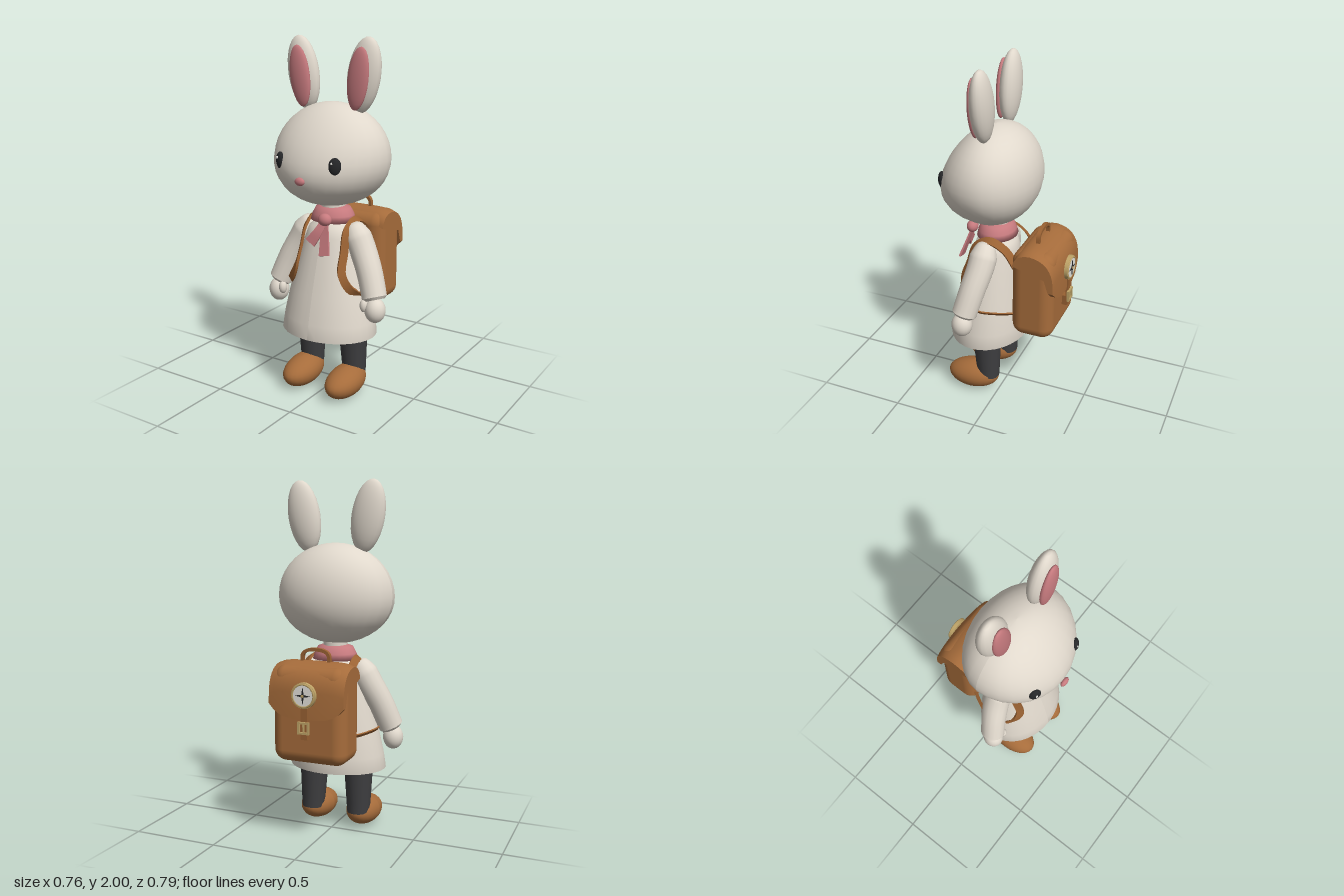
import * as THREE from 'three';
import { toCreasedNormals } from 'three/addons/utils/BufferGeometryUtils.js';
import { RoundedBoxGeometry } from 'three/addons/geometries/RoundedBoxGeometry.js';

const paint = (name, color, side = THREE.FrontSide) => {
  const m = new THREE.MeshStandardMaterial({ color, side });
  m.name = name;
  return m;
};
const V = (x, y, z) => new THREE.Vector3(x, y, z);

// Move every vertex of a geometry by a rule, then refresh its normals
function bend(geo, rule) {
  const p = geo.attributes.position, v = V(0, 0, 0);
  for (let i = 0; i < p.count; i++) {
    rule(v.fromBufferAttribute(p, i));
    p.setXYZ(i, v.x, v.y, v.z);
  }
  geo.computeVertexNormals();
  return geo;
}

// Sweep a closed section [n, b] along a path; n points away from `from`
function sweep(points, section, size, from, steps = 24) {
  const curve = new THREE.CatmullRomCurve3(points), pos = [], idx = [], k = section.length;
  for (let i = 0; i <= steps; i++) {
    const t = i / steps, c = curve.getPoint(t), T = curve.getTangent(t);
    const N = c.clone().sub(from);
    N.addScaledVector(T, -N.dot(T)).normalize();
    const B = T.clone().cross(N);
    for (const [n, b] of section) {
      const q = c.clone().addScaledVector(N, n * size(t)).addScaledVector(B, b * size(t));
      pos.push(q.x, q.y, q.z);
    }
    for (let j = 0; j < k && i < steps; j++) {
      const a = i * k + j, b = i * k + (j + 1) % k;
      idx.push(a, b, b + k, a, b + k, a + k);
    }
  }
  const e = steps * k;
  for (let j = 1; j < k - 1; j++) idx.push(0, j + 1, j, e, e + j, e + j + 1);
  const g = new THREE.BufferGeometry();
  g.setAttribute('position', new THREE.Float32BufferAttribute(pos, 3));
  g.setIndex(idx);
  return toCreasedNormals(g, 0.7);
}
const flat = (w, h) => [[h / 2, -w / 2], [h / 2, w / 2], [-h / 2, w / 2], [-h / 2, -w / 2]];
const round = Array.from({ length: 16 }, (_, i) => [Math.cos(i * Math.PI / 8), Math.sin(i * Math.PI / 8)]);
const one = () => 1;

export function createModel() {
  const fur = paint('cream', 0xe0d8cc, THREE.DoubleSide);
  const pink = paint('pink', 0xc67a7e, THREE.DoubleSide);
  const leather = paint('brown leather', 0xa66c3b);
  const strapBrown = paint('strap brown', 0x9a6233);
  const charcoal = paint('charcoal', 0x3e3e40);
  const black = paint('eye black', 0x262729);
  const brass = paint('brass', 0xbfa468);
  const white = paint('dial white', 0xe6e4de);

  const model = new THREE.Group();
  model.name = 'rabbitTraveller';
  const add = (name, geo, mat, x = 0, y = 0, z = 0, parent = model) => {
    const m = new THREE.Mesh(geo, mat);
    m.name = name;
    m.position.set(x, y, z);
    parent.add(m);
    return m;
  };
  const ball = (name, mat, [x, y, z], [rx, ry, rz], w = 20, h = 14) =>
    add(name, new THREE.SphereGeometry(1, w, h).scale(rx, ry, rz), mat, x, y, z);

  // Head: a sphere pushed forward and down into a muzzle
  add('head', bend(new THREE.SphereGeometry(1, 28, 20), v => {
    const ny = v.y;
    v.x *= 0.338;
    v.y *= ny > 0 ? 0.295 : 0.27;
    v.z *= v.z > 0 ? 0.3 * (1 - 0.28 * ny) : 0.245;
  }), fur, 0, 1.36, 0.06);
  ball('nose', pink, [0, 1.27, 0.38], [0.03, 0.022, 0.016]);
  add('neck', new THREE.CylinderGeometry(0.07, 0.07, 0.16, 20), fur, 0, 1.05, 0.06);

  // Dress: lathe squashed front to back, its axis leaning forward at the hem
  const dress = [[0.27, 0.372], [0.286, 0.365], [0.275, 0.45], [0.245, 0.6], [0.192, 0.8], [0.16, 0.92], [0.14, 0.97], [0.09, 1.0], [0.05, 1.01]];
  add('dress', bend(new THREE.LatheGeometry(dress.map(p => new THREE.Vector2(...p)), 32), v => {
    v.z = v.z * 0.79 + 0.06 + (1 - v.y) * 0.071;
  }), fur);
  ball('tail', fur, [0, 0.53, -0.13], [0.095, 0.095, 0.095]);

  // Scarf
  const scarf = [[0.08, 0.995], [0.133, 1.0], [0.122, 1.035], [0.102, 1.072], [0.07, 1.083]];
  add('scarf', new THREE.LatheGeometry(scarf.map(p => new THREE.Vector2(...p)), 24).scale(1, 1, 0.86), pink, 0, 0, 0.06);
  ball('scarfKnot', pink, [0.035, 1.03, 0.2], [0.04, 0.035, 0.033]);
  const behind = V(0, 0.9, -5);
  const tails = [
    [V(0.03, 1.02, 0.2), V(0.005, 0.96, 0.225), V(-0.035, 0.9, 0.24)],
    [V(0.035, 1.02, 0.2), V(0.05, 0.94, 0.225), V(0.068, 0.845, 0.258)],
  ];
  for (const path of tails) add('scarfTail', sweep(path, flat(0.065, 0.012), t => 0.6 + 0.4 * t, behind, 10), pink);

  for (const s of [1, -1]) {
    // Ears and face
    ball('ear', fur, [s * 0.192, 1.8, 0.06], [0.096, 0.202, 0.057]).rotation.z = -s * 0.17;
    ball('innerEar', pink, [s * 0.184, 1.785, 0.108], [0.063, 0.166, 0.027]).rotation.z = -s * 0.13;
    ball('eye', black, [s * 0.173, 1.355, 0.311], [0.034, 0.047, 0.022]).rotation.y = s * 0.55;
    ball('eyeGlint', white, [s * 0.173 - 0.008, 1.372, 0.331], [0.008, 0.009, 0.005], 10, 8);

    // Arms with rounded shoulders and wide cuffs
    const arm = [V(s * 0.13, 0.995, 0.07), V(s * 0.2, 0.87, 0.08), V(s * 0.262, 0.75, 0.105), V(s * 0.318, 0.605, 0.137)];
    const armSize = t => Math.min(0.079 - 0.009 * t, 0.03 + 0.28 * Math.sqrt(t * 0.15), 0.055 + 0.1 * Math.sqrt(1 - t));
    add('arm', sweep(arm, round, armSize, behind, 32), fur);
    ball('hand', fur, [s * 0.324, 0.55, 0.145], [0.058, 0.07, 0.06]);
    ball('thumb', fur, [s * 0.273, 0.578, 0.178], [0.023, 0.038, 0.026], 12, 10);

    // Legs and shoes
    const leg = [V(s * 0.14, 0.55, 0.08), V(s * 0.14, 0.36, 0.073), V(s * 0.144, 0.1, 0.065)];
    add('leg', sweep(leg, round, t => 0.1 - 0.034 * t, behind, 8), charcoal);
    add('shoe', bend(new THREE.SphereGeometry(1, 24, 16), v => {
      v.x *= 0.097;
      v.y *= v.y > 0 ? 0.085 - 0.01 * v.z : 0.088;
      v.z *= 0.16;
    }), leather, s * 0.145, 0.092, 0.16).rotation.x = 0.06;

    // Shoulder strap: from the pack, over the shoulder, round the waist and back
    const strap = [
      [0.14, 0.88, -0.11], [0.14, 0.97, -0.045], [0.14, 1.012, 0.05], [0.137, 0.965, 0.135], [0.142, 0.85, 0.175],
      [0.152, 0.74, 0.212], [0.2, 0.65, 0.19], [0.256, 0.615, 0.09], [0.225, 0.602, -0.02], [0.17, 0.595, -0.12],
    ].map(([x, y, z]) => V(s * x, y, z));
    add('shoulderStrap', sweep(strap, flat(0.045, 0.014), t => t > 0.7 ? 0.55 : 1, V(0, 0.8, 0.07), 48), strapBrown);
  }

  // Backpack body, bulging a little at the sides
  const pack = new THREE.Group();
  pack.name = 'backpack';
  model.add(pack);
  add('packBody', new RoundedBoxGeometry(0.43, 0.535, 0.245, 5, 0.07), leather, 0, 0.743, -0.22, pack);

  // Flap: a side profile extruded across, bowed outwards with a curved lower edge
  const flap = new THREE.Shape();
  flap.moveTo(0.115, 0.95);
  flap.bezierCurveTo(0.125, 1.01, 0.17, 1.028, 0.22, 1.028);
  flap.bezierCurveTo(0.3, 1.02, 0.345, 0.97, 0.352, 0.88);
  flap.lineTo(0.354, 0.735);
  flap.lineTo(0.325, 0.735);
  flap.lineTo(0.3, 0.9);
  const flapGeo = new THREE.ExtrudeGeometry(flap, { depth: 0.436, steps: 14, bevelEnabled: false, curveSegments: 8 });
  flapGeo.rotateY(Math.PI / 2).translate(-0.218, 0, 0);
  bend(flapGeo, v => {
    const u = Math.abs(v.x / 0.218);
    if (v.z < -0.29) v.z -= 0.015 * (1 - u * u);
    if (v.y < 0.8) v.y += 0.07 * u ** 4;
    else v.y -= 0.02 * u ** 6;
  });
  add('packFlap', toCreasedNormals(flapGeo, 0.7), leather, 0, 0, 0, pack);

  // Carry handle
  const handle = [V(-0.08, 1.01, -0.215), V(-0.074, 1.065, -0.215), V(-0.045, 1.085, -0.215),
    V(0.045, 1.085, -0.215), V(0.074, 1.065, -0.215), V(0.08, 1.01, -0.215)];
  add('handle', sweep(handle, flat(0.022, 0.018), one, V(0, 0.98, -0.215), 24), strapBrown, 0, 0, 0, pack);

  // Closing strap and buckle
  add('closingStrap', new THREE.BoxGeometry(0.038, 0.18, 0.014), strapBrown, 0, 0.72, -0.37, pack);
  add('strapTip', new THREE.BoxGeometry(0.038, 0.06, 0.03), strapBrown, 0, 0.655, -0.357, pack);
  for (const s of [1, -1]) {
    add('buckleBar', new THREE.BoxGeometry(0.066, 0.011, 0.014), brass, 0, 0.692 + s * 0.028, -0.381, pack);
    add('buckleSide', new THREE.BoxGeometry(0.011, 0.066, 0.014), brass, s * 0.028, 0.692, -0.381, pack);
  }
  add('bucklePin', new THREE.BoxGeometry(0.008, 0.056, 0.008), brass, 0, 0.692, -0.382, pack);

  // Compass badge
  const disc = (name, r, h, mat, z) =>
    add(name, new THREE.CylinderGeometry(r, r, h, 28).rotateX(Math.PI / 2), mat, 0, 0.868, z, pack);
  disc('compassCase', 0.07, 0.02, brass, -0.374);
  add('compassRim', new THREE.TorusGeometry(0.061, 0.007, 8, 28), brass, 0, 0.868, -0.383, pack);
  disc('compassDial', 0.056, 0.006, white, -0.385);
  const star = new THREE.Shape();
  for (let i = 0; i < 8; i++) {
    const r = i % 2 ? 0.009 : 0.045, a = i * Math.PI / 4;
    star[i ? 'lineTo' : 'moveTo'](r * Math.cos(a), r * Math.sin(a));
  }
  add('compassNeedle', new THREE.ExtrudeGeometry(star, { depth: 0.004, bevelEnabled: false }), black, 0, 0.868, -0.392, pack);
  disc('compassHub', 0.008, 0.01, brass, -0.391);

  return model;
}
